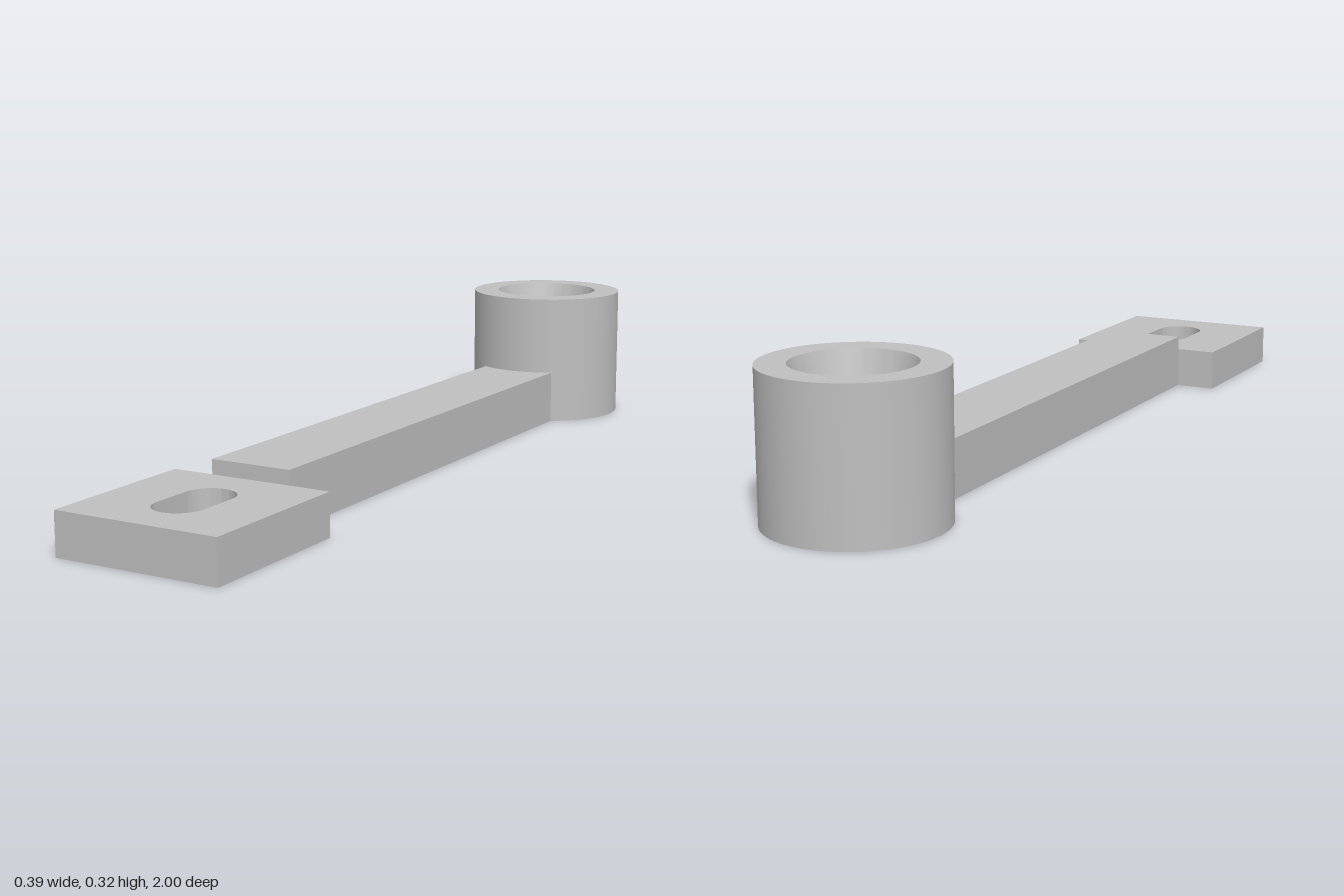
import * as THREE from 'three';
import { toCreasedNormals } from 'three/addons/utils/BufferGeometryUtils.js';

const R = 0.194;        // cup radius and half width of the plate
const CUP_Z = -0.806;   // cup axis
const SLOT_Z = 0.806;   // slot centre
const PLATE_BACK = 0.612;
const ARM = 0.097;      // half width of the arm

export function createModel() {
  const group = new THREE.Group();
  const grey = new THREE.MeshStandardMaterial({ color: 0xbfbfbf });
  grey.name = 'grey metal';

  const add = (name, geometry) => {
    const mesh = new THREE.Mesh(toCreasedNormals(geometry, 0.6), grey);
    mesh.name = name;
    group.add(mesh);
    return mesh;
  };
  // Plan outline (x, -z) raised from the ground
  const raise = (shape, depth) =>
    new THREE.ExtrudeGeometry(shape, { depth, bevelEnabled: false, curveSegments: 32 }).rotateX(-Math.PI / 2);

  // Mounting plate with a rounded slot
  const plate = new THREE.Shape([
    new THREE.Vector2(-R, -1), new THREE.Vector2(R, -1),
    new THREE.Vector2(R, -PLATE_BACK), new THREE.Vector2(-R, -PLATE_BACK),
  ]);
  const slotR = 0.057, slotHalf = 0.048;
  const slot = new THREE.Path();
  slot.absarc(0, -SLOT_Z + slotHalf, slotR, 0, Math.PI, false);
  slot.absarc(0, -SLOT_Z - slotHalf, slotR, Math.PI, Math.PI * 2, false);
  slot.closePath();
  plate.holes.push(slot);
  add('mountingPlate', raise(plate, 0.097));

  // Arm, its far end curved to meet the cup
  const a = Math.asin(ARM / R);
  const arm = new THREE.Shape();
  arm.moveTo(-ARM, -PLATE_BACK);
  arm.lineTo(ARM, -PLATE_BACK);
  arm.absarc(0, -CUP_Z, R, -Math.PI / 2 + a, -Math.PI / 2 - a, true);
  arm.closePath();
  add('arm', raise(arm, 0.13));

  // Cup with a conical bore running through to a small hole
  const profile = [[0.046, 0], [R, 0], [R, 0.324], [0.13, 0.324], [0.046, 0]]
    .map(([r, y]) => new THREE.Vector2(r, y));
  add('cup', new THREE.LatheGeometry(profile, 96)).position.z = CUP_Z;

  return group;
}
